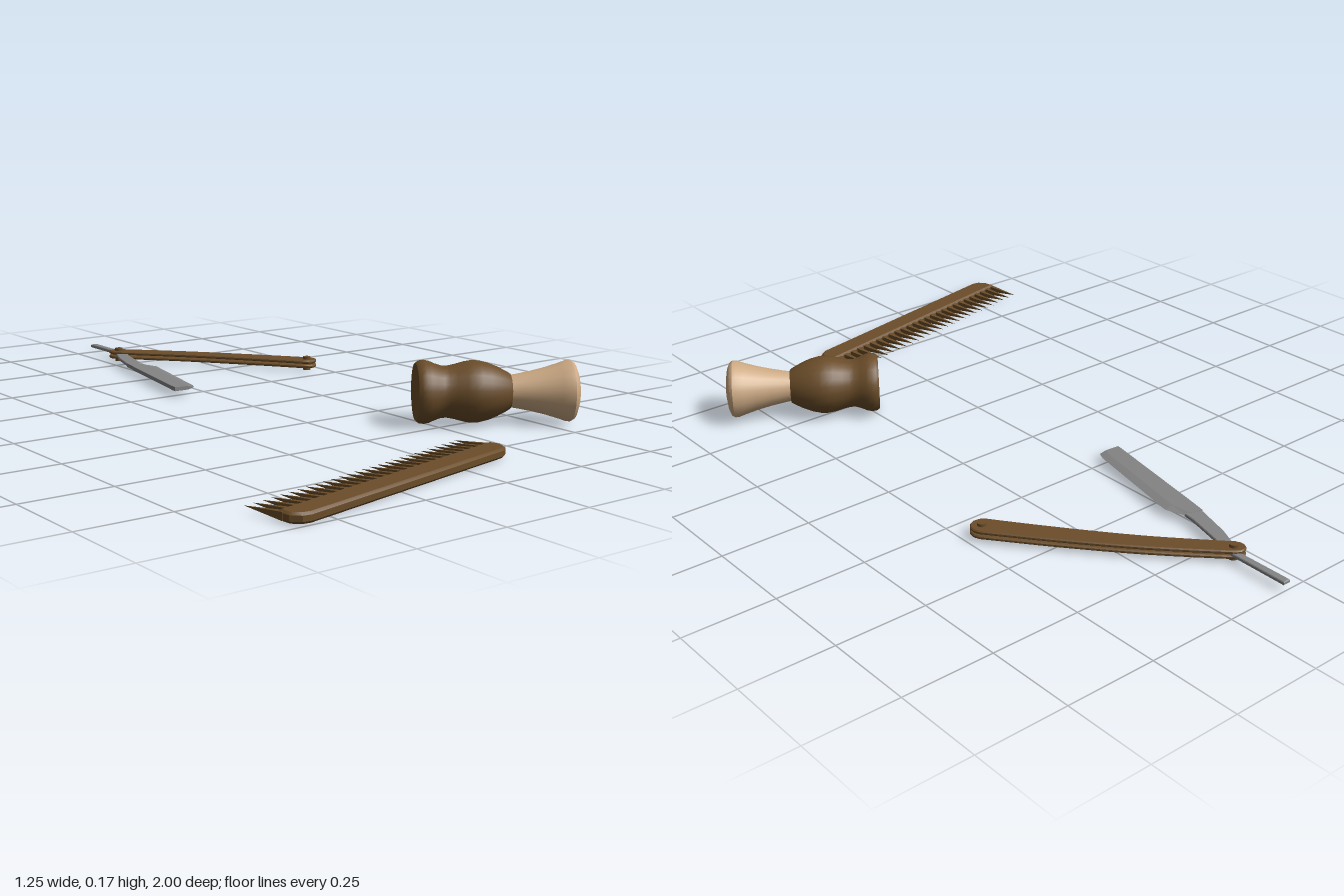
import * as THREE from 'three';
import { toCreasedNormals } from 'three/addons/utils/BufferGeometryUtils.js';

const material = (name, color) => {
  const m = new THREE.MeshStandardMaterial({ color });
  m.name = name;
  return m;
};

function addMesh(parent, name, geometry, mat) {
  const mesh = new THREE.Mesh(geometry, mat);
  mesh.name = name;
  parent.add(mesh);
  return mesh;
}

// Flat plate from an outline of [x, z] points between heights y0 and y1, with bevelled edges
function plate(points, y0, y1, bevel) {
  const shape = new THREE.Shape(points.map(([x, z]) => new THREE.Vector2(x, -z)));
  const geo = new THREE.ExtrudeGeometry(shape, {
    depth: y1 - y0 - 2 * bevel, bevelEnabled: bevel > 0, bevelSize: bevel,
    bevelThickness: bevel, bevelOffset: -bevel, bevelSegments: 1,
  });
  geo.rotateX(-Math.PI / 2).translate(0, y0 + bevel, 0);
  return toCreasedNormals(geo, 0.5);
}

// Outline of a curved strip with round ends, its half width running from w0 to w1
function stripOutline(centres, w0, w1) {
  const curve = new THREE.SplineCurve(centres.map(([x, z]) => new THREE.Vector2(x, z)));
  const n = 12, sideA = [], sideB = [];
  const at = (t, angle) => {
    const p = curve.getPoint(t), d = curve.getTangent(t), w = w0 + (w1 - w0) * t;
    const a = Math.atan2(d.y, d.x) + angle;
    return [p.x + w * Math.cos(a), p.y + w * Math.sin(a)];
  };
  for (let i = 0; i <= n; i++) {
    sideA.push(at(i / n, -Math.PI / 2));
    sideB.push(at(1 - i / n, Math.PI / 2));
  }
  const arc = (t, start) => [1, 2, 3, 4, 5].map((k) => at(t, start + (k * Math.PI) / 6));
  return [...sideA, ...arc(1, -Math.PI / 2), ...sideB, ...arc(0, Math.PI / 2)];
}

// Blade lofted from [spine, edge] pairs: thick along the back, ground to a thin edge
function bladeGeometry(sections, y, half) {
  const pos = [], index = [], ring = 5;
  for (const [[sx, sz], [ex, ez]] of sections) {
    const mx = sx + (ex - sx) * 0.68, mz = sz + (ez - sz) * 0.68;
    pos.push(sx, y + half, sz, mx, y + half * 0.9, mz, ex, y, ez,
      mx, y - half * 0.9, mz, sx, y - half, sz);
  }
  const last = (sections.length - 1) * ring;
  for (let i = 0; i < last; i += ring) {
    for (let j = 0; j < ring; j++) {
      const k = (j + 1) % ring;
      index.push(i + j, i + k, i + ring + k, i + j, i + ring + k, i + ring + j);
    }
  }
  for (let j = 1; j < ring - 1; j++) {
    index.push(0, j + 1, j, last, last + j, last + j + 1);
  }
  const geo = new THREE.BufferGeometry();
  geo.setAttribute('position', new THREE.Float32BufferAttribute(pos, 3));
  geo.setIndex(index);
  geo.computeVertexNormals();
  return toCreasedNormals(geo, 0.1);
}

const lathe = (profile) => toCreasedNormals(
  new THREE.LatheGeometry(profile.map(([r, h]) => new THREE.Vector2(r, h)), 24), 0.6);

function makeBrush(wood, hair) {
  const brush = new THREE.Group();
  brush.name = 'shavingBrush';
  addMesh(brush, 'brushHandle', lathe([
    [0, 0], [0.078, 0], [0.084, 0.008], [0.086, 0.022], [0.083, 0.036], [0.076, 0.052],
    [0.07, 0.07], [0.07, 0.085], [0.074, 0.105], [0.081, 0.13], [0.084, 0.15],
    [0.083, 0.17], [0.077, 0.195], [0.067, 0.22], [0.054, 0.245], [0.048, 0.254], [0, 0.256],
  ]), wood);
  addMesh(brush, 'bristles', lathe([
    [0.042, 0.245], [0.046, 0.27], [0.054, 0.31], [0.064, 0.35], [0.075, 0.385],
    [0.082, 0.405], [0.083, 0.416], [0.077, 0.425], [0.06, 0.432], [0.03, 0.437], [0, 0.438],
  ]), hair);
  // lying on its side, hair end pointing to the front left
  brush.quaternion.setFromUnitVectors(
    new THREE.Vector3(0, 1, 0), new THREE.Vector3(0.835, 0, 0.549).normalize());
  brush.position.set(0.225, 0.09, 0.43);
  return brush;
}

function makeComb(wood) {
  const comb = new THREE.Group();
  comb.name = 'comb';
  addMesh(comb, 'combSpine', plate([
    [-0.8, 0.787], [-0.804, 0.822], [-0.788, 0.846], [-0.765, 0.854],
    [-0.035, 0.854], [-0.012, 0.844], [0.003, 0.822], [0, 0.787],
  ], 0.004, 0.03, 0.006), wood);
  // row of pointed teeth
  const tooth = new THREE.ConeGeometry(Math.SQRT1_2, 1, 4, 1, false, Math.PI / 4).toNonIndexed();
  tooth.computeVertexNormals();
  tooth.scale(0.016, 0.115, 0.02).rotateX(-Math.PI / 2);
  const count = 28;
  for (let i = 0; i < count; i++) {
    const u = -0.795 + (0.79 * i) / (count - 1);
    addMesh(comb, 'combTooth', tooth, wood).position.set(u, 0.017, 0.744);
  }
  comb.rotation.y = 0.215;
  return comb;
}

function makeRazor(wood, steel) {
  const razor = new THREE.Group();
  razor.name = 'foldingRazor';
  // two curved handle scales with the blade slot between them
  const outline = stripOutline(
    [[0.045, -0.822], [0.195, -0.663], [0.33, -0.5], [0.452, -0.341]], 0.025, 0.034);
  for (const [y0, y1] of [[0.012, 0.022], [0.026, 0.036]]) {
    addMesh(razor, 'handleScale', plate(outline, y0, y1, 0.003), wood);
  }
  // pivot and end pin
  for (const [x, z] of [[0.05, -0.818], [0.455, -0.34]]) {
    addMesh(razor, 'pin', new THREE.CylinderGeometry(0.012, 0.012, 0.042, 12), wood)
      .position.set(x, 0.023, z);
  }
  addMesh(razor, 'tang', plate([
    [-0.029, -0.635], [0.003, -0.74], [0.03, -0.8], [0.05, -0.84], [0.05, -1], [0.072, -1],
    [0.07, -0.83], [0.062, -0.78], [0.05, -0.755], [0.022, -0.65], [0.018, -0.62],
  ], 0.019, 0.029, 0.002), steel);
  addMesh(razor, 'blade', bladeGeometry([
    [[-0.108, -0.238], [-0.045, -0.232]],
    [[-0.105, -0.255], [-0.034, -0.255]],
    [[-0.042, -0.575], [0.036, -0.567]],
    [[-0.029, -0.637], [0.018, -0.625]],
  ], 0.024, 0.006), steel);
  return razor;
}

export function createModel() {
  const wood = material('brown wood', 0x6b4d29);
  const hair = material('tan bristle', 0xcdaa84);
  const steel = material('grey steel', 0x848484);
  const model = new THREE.Group();
  model.name = 'groomingSet';
  model.add(makeBrush(wood, hair), makeComb(wood), makeRazor(wood, steel));
  return model;
}
